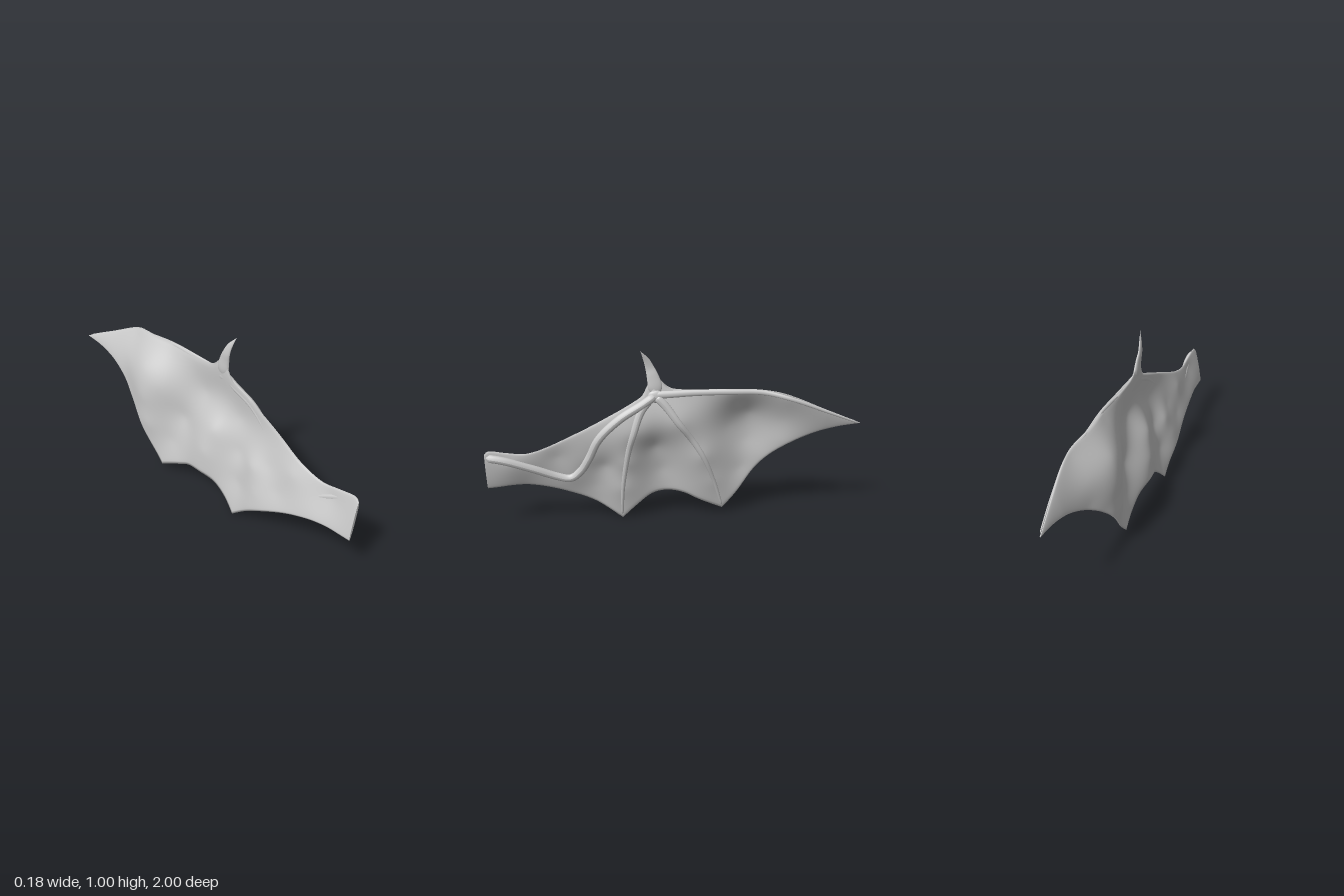
import * as THREE from 'three';

const material = new THREE.MeshStandardMaterial({ color: 0xcccccc });

// Sideways depth of the skin: control points [z, y, x]
const HOLD = [
  [1, .47, .015], [1, .36, -.005], [1, .24, -.03], [-1, .56, .03],
  // along the arm
  [.85, .4, .015], [.75, .36, -.008], [.55, .285, -.032], [.46, .39, -.002], [.38, .55, .036], [.28, .64, .042], [.11, .76, .026],
  // along the fingers
  [.22, .55, .044], [.26, .365, .008], [.28, .2, -.03], [.28, .01, -.075],
  [-.02, .6, .045], [-.155, .39, .01], [-.22, .22, -.03], [-.275, .04, -.07],
  [-.1, .76, .035], [-.29, .76, .045], [-.6, .72, .07], [-.8, .64, .057],
  // hollows between the bones
  [.1, .45, -.035], [.06, .3, -.07], [.04, .17, -.08],
  [-.3, .55, -.05], [-.4, .45, -.08], [-.37, .28, -.08], [-.41, .62, -.05], [-.5, .35, -.058],
  [-.6, .45, -.018], [-.58, .58, -.005], [-.8, .53, .02],
  [.37, .35, -.03], [.42, .22, -.06], [.4, .12, -.077], [.6, .2, -.063], [.8, .25, -.045],
  // skin behind the arm and at the claw root
  [.35, .645, .038], [.5, .565, .032], [.62, .42, -.01], [.68, .48, .018], [.85, .455, .018], [.2, .735, .03],
  [.11, .85, .024],
];

// Smoothed thin-plate surface near the control points
function thinPlate(pts, smoothing) {
  const n = pts.length, m = n + 3;
  const kernel = (dz, dy) => { const r2 = dz * dz + dy * dy; return r2 > 1e-12 ? r2 * Math.log(r2) : 0; };
  const basis = (z, y) => [...pts.map(p => kernel(z - p[0], y - p[1])), 1, z, y];
  const A = pts.map(p => [...basis(p[0], p[1]), p[2]]);
  for (let k = 0; k < n; k++) A[k][k] += smoothing;
  for (let k = 0; k < 3; k++) {
    A.push([...pts.map(p => [1, p[0], p[1]][k]), 0, 0, 0, 0]);
  }
  for (let c = 0; c < m; c++) {
    let best = c;
    for (let r = c + 1; r < m; r++) if (Math.abs(A[r][c]) > Math.abs(A[best][c])) best = r;
    [A[c], A[best]] = [A[best], A[c]];
    for (let r = 0; r < m; r++) {
      if (r === c) continue;
      const f = A[r][c] / A[c][c];
      for (let k = c; k <= m; k++) A[r][k] -= f * A[c][k];
    }
  }
  const w = A.map((row, i) => row[m] / row[i]);
  return (z, y) => basis(z, y).reduce((sum, b, i) => sum + b * w[i], 0);
}
const depth = thinPlate(HOLD, .004);

// Edge height as a function of z, from splines that meet in sharp corners
function edge(...runs) {
  const pts = runs.flatMap(run =>
    new THREE.SplineCurve(run.map(p => new THREE.Vector2(...p))).getPoints(200));
  return z => {
    let i = 0;
    while (i < pts.length - 2 && pts[i + 1].x > z) i++;
    const a = pts[i], b = pts[i + 1];
    const t = a.x === b.x ? 0 : THREE.MathUtils.clamp((z - a.x) / (b.x - a.x), 0, 1);
    return a.y + (b.y - a.y) * t;
  };
}
const upper = edge([[1, .455], [.97, .475], [.88, .462], [.78, .453], [.66, .49], [.5, .57], [.35, .65], [.22, .722],
  [.17, .757], [.145, .805], [.12, .842], [.09, .846], [.068, .833], [.04, .806], [0, .79],
  [-.1, .784], [-.3, .785], [-.5, .77], [-.62, .74], [-.8, .655], [-1, .56]]);
const lower = edge(
  [[1, .24], [.95, .243], [.85, .25], [.75, .24], [.6, .195], [.42, .11], [.28, .003]],
  [[.28, .003], [.2, .085], [.12, .145], [.03, .16], [-.06, .145], [-.15, .1], [-.275, .04]],
  [[-.275, .04], [-.36, .14], [-.48, .31], [-.6, .42], [-.74, .5], [-.87, .54], [-1, .558]]);

// Closed thin skin made of loops along z
function membraneGeometry() {
  const stops = [1, .28, -.275, -1], steps = 60, N = 40, M = 2 * N;
  const zs = [1];
  for (let s = 0; s < 3; s++)
    for (let i = 1; i <= steps; i++) zs.push(THREE.MathUtils.lerp(stops[s], stops[s + 1], i / steps));
  const pos = [], index = [];
  for (const z of zs) {
    const lo = lower(z), hi = upper(z);
    for (let j = 0; j < M; j++) {
      const v = (j <= N ? j : M - j) / N, y = lo + (hi - lo) * v;
      const half = .009 * Math.pow(Math.max(0, Math.sin(Math.PI * v)), .4) * Math.min(1, .2 + (z + 1) * 4);
      pos.push(depth(z, y) + (j <= N ? half : -half), y, z);
    }
  }
  for (let i = 0; i < zs.length - 1; i++)
    for (let j = 0; j < M; j++) {
      const a = i * M + j, b = i * M + (j + 1) % M;
      index.push(a, a + M, b, b, a + M, b + M);
    }
  // flat root end
  const base = pos.length / 3;
  pos.push(...pos.slice(0, M * 3));
  for (let j = 0; j < N; j++) {
    const a = base + j, b = a + 1, c = base + M - j - 1, d = base + (M - j) % M;
    index.push(a, b, c, a, c, d);
  }
  const geo = new THREE.BufferGeometry();
  geo.setAttribute('position', new THREE.Float32BufferAttribute(pos, 3));
  geo.setIndex(index);
  geo.computeVertexNormals();
  return geo;
}

// Tube whose radius follows a rule; flat squeezes it sideways
function taperedTube(points, radiusAt, flat, seg = 70, sides = 14) {
  const curve = new THREE.CatmullRomCurve3(points);
  const geo = new THREE.TubeGeometry(curve, seg, 1, sides);
  const pos = geo.attributes.position, p = new THREE.Vector3();
  for (let i = 0; i < pos.count; i++) {
    const t = Math.floor(i / (sides + 1)) / seg, c = curve.getPointAt(t);
    p.fromBufferAttribute(pos, i).sub(c).multiplyScalar(radiusAt(t));
    p.x *= flat;
    p.add(c);
    pos.setXYZ(i, p.x, p.y, p.z);
  }
  geo.computeVertexNormals();
  return geo;
}

// Bone lying on the outer face of the skin, path given as [z, y]
function bone(path, r0, r1, flat) {
  const radius = t => r0 + (r1 - r0) * t;
  const pts = path.map(([z, y], i) =>
    new THREE.Vector3(depth(z, y) + .005 + .45 * flat * radius(i / (path.length - 1)), y, z));
  const round = t => Math.sqrt(Math.max(0, 1 - Math.pow(1 - Math.min(1, Math.min(t, 1 - t) / .025), 2)));
  return taperedTube(pts, t => radius(t) * round(t) + .0005, flat);
}

export function createModel() {
  const wing = new THREE.Group();
  wing.name = 'wing';
  const add = (name, geo) => {
    const mesh = new THREE.Mesh(geo, material);
    mesh.name = name;
    wing.add(mesh);
    return mesh;
  };

  add('membrane', membraneGeometry());

  add('armBone', bone([[.992, .44], [.9, .42], [.756, .36], [.63, .3], [.555, .285], [.5, .33], [.455, .41],
    [.4, .53], [.29, .64], [.166, .715], [.1, .76]], .021, .022, .9));
  add('innerFinger', bone([[.13, .74], [.18, .67], [.22, .55], [.245, .45], [.263, .34], [.278, .2], [.283, .03]], .022, .006, .65));
  add('middleFinger', bone([[.1, .755], [.05, .7], [-.02, .6], [-.09, .5], [-.155, .39], [-.22, .23], [-.272, .06]], .022, .006, .65));
  add('leadingFinger', bone([[.11, .76], [.04, .762], [-.1, .768], [-.29, .769], [-.47, .757], [-.61, .724],
    [-.8, .645], [-.985, .564]], .02, .005, .65));
  add('thumbRidge', bone([[.1, .75], [.11, .8], [.122, .85]], .022, .002, .5));

  // wrist where the bones meet
  const wrist = add('wrist', new THREE.SphereGeometry(.038, 24, 16));
  wrist.scale.set(.4, .9, 1.1);
  wrist.position.set(.036, .752, .1);

  // curved claw above the wrist
  const claw = [[.031, .74, .1], [.028, .8, .102], [.025, .86, .115], [.022, .9, .128], [.027, .945, .145], [.042, 1, .177]];
  const width = new THREE.SplineCurve([[0, .01], [.2, .036], [.42, .032], [.58, .023], [.77, .014], [1, .0008]]
    .map(p => new THREE.Vector2(...p)));
  add('claw', taperedTube(claw.map(p => new THREE.Vector3(...p)), t => width.getPoint(t).y, .34, 40, 20));

  return wing;
}
